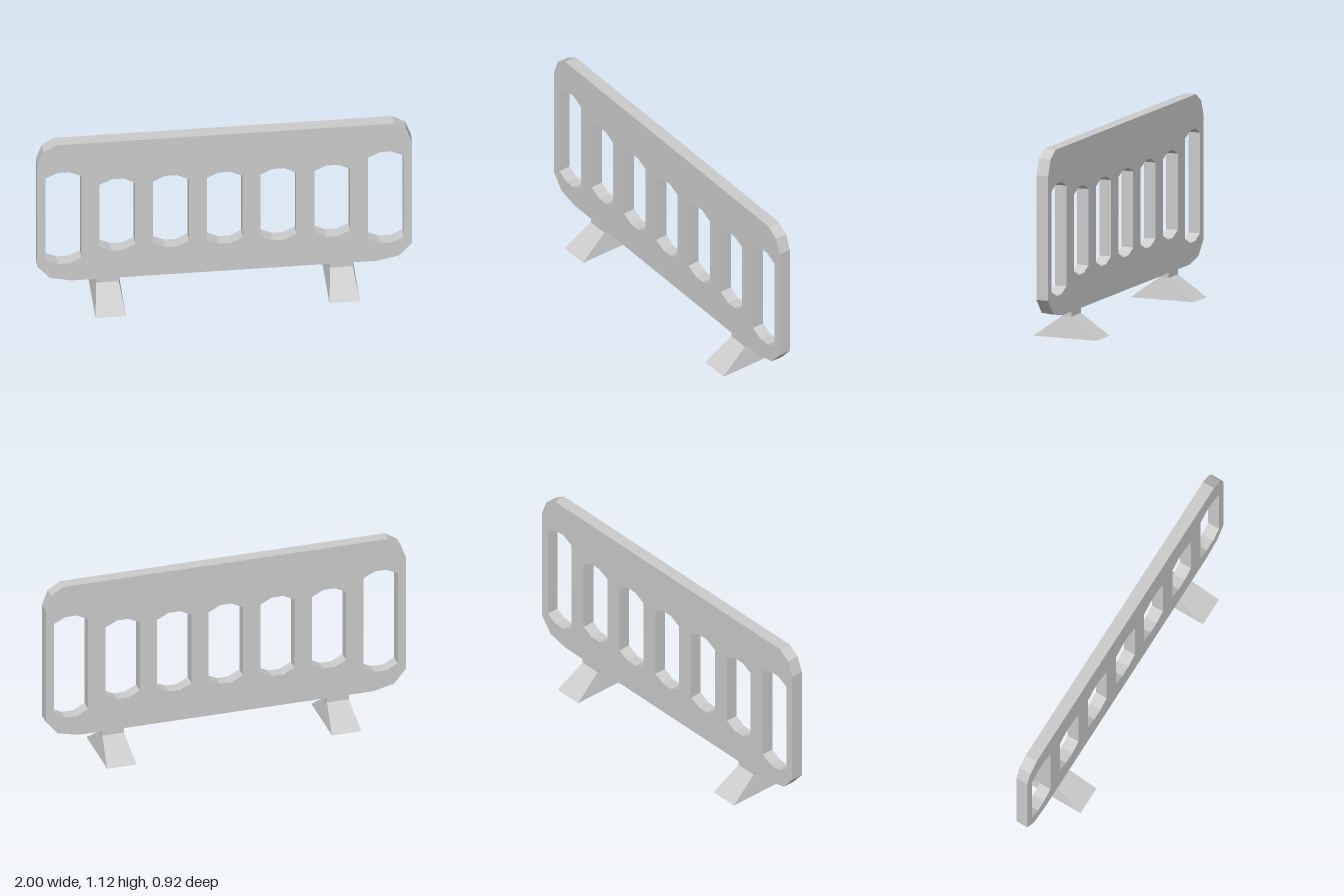
import * as THREE from 'three';

const material = new THREE.MeshStandardMaterial({ color: 0xcccccc, flatShading: true });
const THICKNESS = 0.072;

function part(name, geometry) {
  const mesh = new THREE.Mesh(geometry, material);
  mesh.name = name;
  return mesh;
}

// Mirror a right-hand outline (bottom to top) across x = 0
function mirrored(half, cx = 0) {
  const left = half.map(([x, y]) => [-x, y]).reverse();
  return [...half, ...left].map(([x, y]) => new THREE.Vector2(cx + x, y));
}

// Slot with chamfered top and bottom ends
function slot(cx, bottom, top) {
  const w = 0.101, flat = 0.033, c = 0.034;
  return new THREE.Path(mirrored([[flat, bottom], [w, bottom + c], [w, top - c], [flat, top]], cx));
}

function panelGeometry() {
  const shape = new THREE.Shape(mirrored([
    [0.868, 0.154], [0.99, 0.183], [1.061, 0.268],
    [1.061, 0.98], [1.028, 1.07], [0.957, 1.115],
  ]));
  for (let i = -2; i <= 2; i++) shape.holes.push(slot(i * 0.304, 0.346, 0.85));
  for (const side of [-1, 1]) shape.holes.push(slot(side * 0.912, 0.276, 0.92));
  return new THREE.ExtrudeGeometry(shape, { depth: THICKNESS, bevelEnabled: false })
    .translate(0, 0, -THICKNESS / 2);
}

// Wedge foot: a box narrowed at its top to meet the neck
function footGeometry() {
  const geometry = new THREE.BoxGeometry(0.173, 0.122, 0.393).translate(0, 0.061, 0);
  const p = geometry.attributes.position;
  for (let i = 0; i < p.count; i++) {
    if (p.getY(i) < 0.06) continue;
    p.setX(i, Math.sign(p.getX(i)) * 0.064);
    p.setZ(i, Math.sign(p.getZ(i)) * 0.029);
  }
  geometry.computeVertexNormals();
  return geometry;
}

export function createModel() {
  const model = new THREE.Group();
  model.name = 'barrier';

  // The whole barrier stands diagonally
  const barrier = new THREE.Group();
  barrier.name = 'turnedBarrier';
  barrier.rotation.y = -THREE.MathUtils.degToRad(21.85);
  model.add(barrier);

  barrier.add(part('slottedPanel', panelGeometry()));

  for (const side of [-1, 1]) {
    const support = new THREE.Group();
    support.name = side > 0 ? 'leftSupport' : 'rightSupport';
    support.position.x = side * 0.662;
    const neck = part('neck', new THREE.BoxGeometry(0.128, 0.036, 0.058));
    neck.position.y = 0.139;
    support.add(part('foot', footGeometry()), neck);
    barrier.add(support);
  }
  return model;
}
